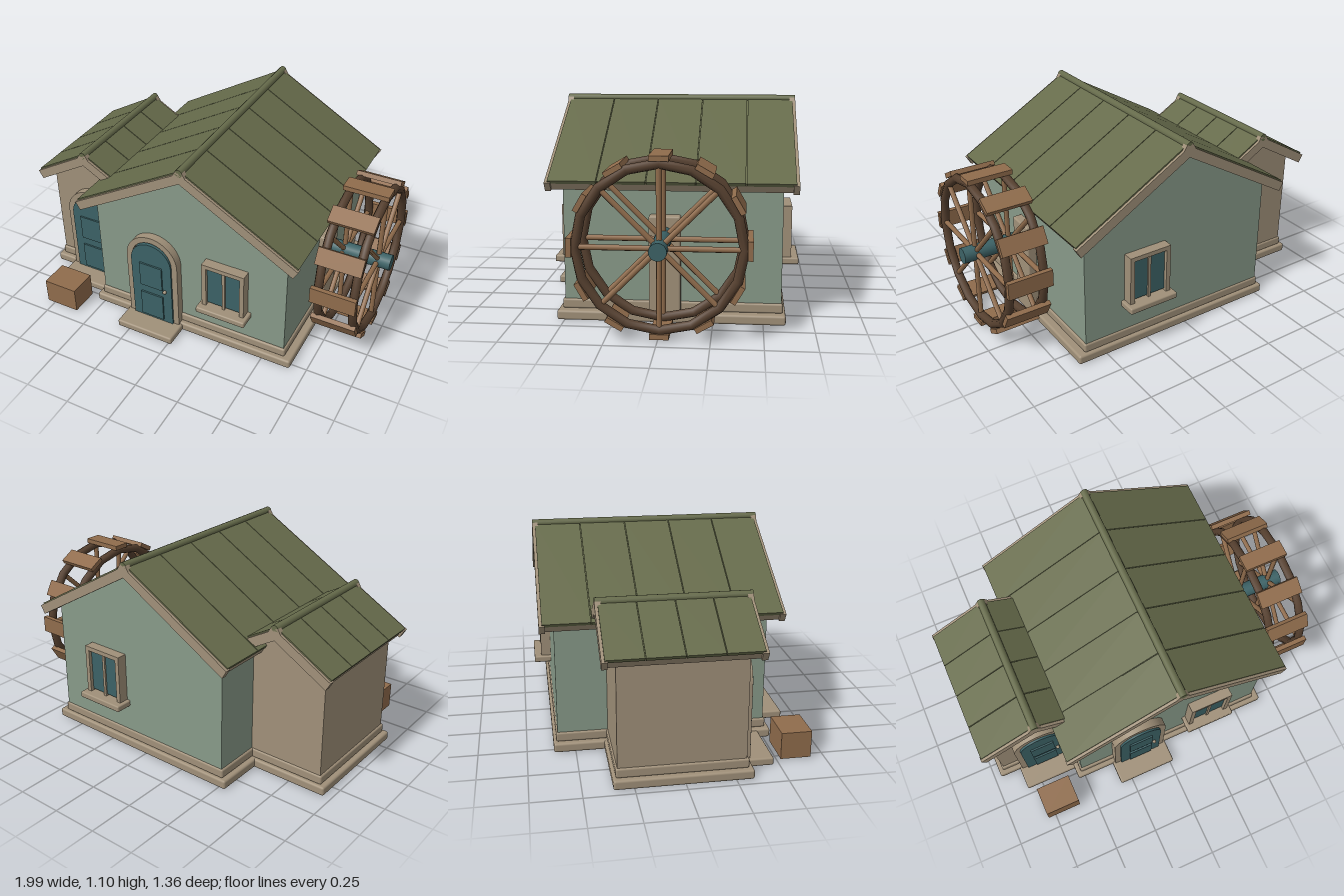
import * as THREE from 'three';
import { RoundedBoxGeometry } from 'three/addons/geometries/RoundedBoxGeometry.js';

const paint = (name, color) => {
  const m = new THREE.MeshStandardMaterial({ color });
  m.name = name;
  return m;
};

export function createModel() {
  const stone = paint('tan stone', 0xa09079);
  const plaster = paint('sage plaster', 0x889a89);
  const green = paint('olive roof', 0x666b4b);
  const teal = paint('teal paint', 0x3c6266);
  const wood = paint('light wood', 0x906c4c);
  const darkWood = paint('dark wood', 0x56402f);

  const model = new THREE.Group();
  model.name = 'watermillHouse';

  const add = (parent, name, geo, mat) => {
    const mesh = new THREE.Mesh(geo, mat);
    mesh.name = name;
    parent.add(mesh);
    return mesh;
  };
  const group = (parent, name, x, y, z) => {
    const g = new THREE.Group();
    g.name = name;
    g.position.set(x, y, z);
    parent.add(g);
    return g;
  };
  // Box given by its extents; r > 0 rounds the edges
  const box = (parent, name, mat, [x0, x1], [y0, y1], [z0, z1], r = 0) => {
    const s = [x1 - x0, y1 - y0, z1 - z0];
    const geo = r ? new RoundedBoxGeometry(...s, 2, r) : new THREE.BoxGeometry(...s);
    const mesh = add(parent, name, geo, mat);
    mesh.position.set((x0 + x1) / 2, (y0 + y1) / 2, (z0 + z1) / 2);
    return mesh;
  };
  const extrude = (shape, depth) =>
    new THREE.ExtrudeGeometry(shape, { depth, bevelEnabled: false, curveSegments: 20 });

  // Gabled walls with a two-step plinth
  const walls = (name, mat, x, half, eave, peak, zBack, zFront) => {
    const g = group(model, name, x, 0, 0);
    const shape = new THREE.Shape([[-half, 0.02], [half, 0.02], [half, eave], [0, peak], [-half, eave]]
      .map(p => new THREE.Vector2(...p)));
    add(g, name + 'Walls', extrude(shape, zFront - zBack), mat).position.z = zBack;
    box(g, name + 'Base', stone, [-half - 0.035, half + 0.05], [0, 0.05], [zBack - 0.022, zFront + 0.035], 0.012);
    box(g, name + 'Plinth', stone, [-half - 0.01, half + 0.01], [0.05, 0.1], [zBack - 0.008, zFront + 0.012], 0.01);
  };
  walls('mainHouse', plaster, 0.055, 0.56, 0.71, 1.035, -0.59, 0.503);
  walls('sideHouse', stone, -0.67, 0.255, 0.665, 0.815, -0.33, 0.305);

  // Roof: two slopes of panels with bargeboards, fascia and ridge cap
  const roof = (name, x, y, run, zBack, zFront, panels) => {
    const g = group(model, name, x, y, 0);
    const tilt = Math.PI / 6;
    const len = run / Math.cos(tilt);
    for (const s of [-1, 1]) {
      const slope = group(g, name + (s > 0 ? 'LeftSlope' : 'RightSlope'), 0, 0, 0);
      slope.rotation.z = -s * tilt;
      const span = (a, b) => (s > 0 ? [a, b] : [-b, -a]);
      box(slope, 'roofDeck', green, span(0, len - 0.015), [-0.035, 0], [zBack + 0.015, zFront - 0.015]);
      const step = (zFront - zBack - 0.026) / panels;
      for (let i = 0; i < panels; i++) {
        const z = zBack + 0.013 + i * step;
        box(slope, 'roofPanel', green, span(0, len - 0.008), [-0.012, 0.006], [z + 0.002, z + step - 0.002]);
      }
      for (const z of [zBack, zFront - 0.03])
        box(slope, 'bargeboard', stone, span(-0.02, len), [-0.052, -0.001], [z, z + 0.03]);
      box(slope, 'fascia', stone, span(len - 0.045, len - 0.012), [-0.052, -0.012], [zBack + 0.03, zFront - 0.03]);
    }
    const cap = add(g, 'ridgeCap', new THREE.CylinderGeometry(0.021, 0.021, zFront - zBack, 12), green);
    cap.rotation.x = Math.PI / 2;
    cap.position.z = (zFront + zBack) / 2;
  };
  roof('mainRoof', 0.055, 1.08, 0.642, -0.663, 0.58, 5);
  roof('sideRoof', -0.67, 0.853, 0.32, -0.4, 0.375, 4);

  // Arched door, placed on a wall facing +z
  const archShape = (r, y0, yc) => {
    const s = new THREE.Shape();
    s.moveTo(-r, y0);
    s.lineTo(r, y0);
    s.lineTo(r, yc);
    s.absarc(0, yc, r, 0, Math.PI, false);
    s.closePath();
    return s;
  };
  const door = (name, x, z) => {
    const g = group(model, name, x, 0, z);
    const surround = archShape(0.155, 0.02, 0.437);
    surround.holes.push(archShape(0.122, 0.03, 0.437));
    add(g, 'doorSurround', extrude(surround, 0.055), stone).position.z = -0.01;
    add(g, 'doorLeaf', extrude(archShape(0.122, 0.04, 0.43), 0.06), teal).position.z = -0.005;
    box(g, 'upperPanel', teal, [-0.068, 0.068], [0.27, 0.42], [0.055, 0.064]);
    box(g, 'lowerPanel', teal, [-0.068, 0.068], [0.06, 0.22], [0.055, 0.064]);
    const knob = add(g, 'doorKnob', new THREE.SphereGeometry(0.011, 10, 8), stone);
    knob.position.set(0.083, 0.265, 0.062);
    box(g, 'doorstep', stone, [-0.17, 0.17], [0, 0.042], [-0.01, 0.165], 0.01);
  };
  door('mainDoor', -0.15, 0.503);
  door('sideDoor', -0.67, 0.305);

  // Two-pane window with a sill, facing +z before turning
  const window = (name, x, y, z, turn) => {
    const g = group(model, name, x, y, z);
    g.rotation.y = turn;
    for (const s of [-1, 1]) {
      box(g, 'frameSide', stone, s > 0 ? [0.097, 0.122] : [-0.122, -0.097], [0, 0.28], [-0.01, 0.055]);
      box(g, 'pane', teal, s > 0 ? [0.006, 0.098] : [-0.098, -0.006], [0.02, 0.258], [0.028, 0.036]);
    }
    box(g, 'frameTop', stone, [-0.097, 0.097], [0.256, 0.28], [-0.01, 0.055]);
    box(g, 'mullion', stone, [-0.008, 0.008], [0, 0.256], [-0.01, 0.045]);
    box(g, 'sill', stone, [-0.142, 0.142], [-0.025, 0.01], [-0.01, 0.093], 0.008);
  };
  window('frontWindow', 0.28, 0.262, 0.503, 0);
  window('backWindow', 0.26, 0.27, -0.59, Math.PI);

  // Stone pier carrying the wheel axle, and a crate by the side door
  box(model, 'wheelPier', stone, [0.59, 0.665], [0, 0.545], [-0.088, 0.07], 0.01);
  box(model, 'crate', wood, [-0.793, -0.595], [0.005, 0.148], [0.52, 0.678]);

  // Water wheel turning about the x axis
  const wheel = group(model, 'waterWheel', 0, 0.45, -0.01);
  for (const x of [0.735, 0.925]) {
    const rim = add(wheel, 'rim', new THREE.TorusGeometry(0.395, 0.024, 8, 16), darkWood);
    rim.rotation.y = Math.PI / 2;
    rim.position.x = x;
    for (let i = 0; i < 4; i++) {
      const spoke = add(wheel, 'spokePair', new THREE.CylinderGeometry(0.014, 0.014, 0.76, 8), wood);
      spoke.position.x = x;
      spoke.rotation.x = i * Math.PI / 4;
    }
  }
  for (let i = 0; i < 12; i++) {
    const arm = group(wheel, 'paddleArm', 0, 0, 0);
    arm.rotation.x = i * Math.PI / 6;
    box(arm, 'paddle', wood, [0.705, 0.95], [0.408, 0.434], [-0.046, 0.046]);
  }
  const axle = add(wheel, 'axle', new THREE.CylinderGeometry(0.043, 0.043, 0.36, 16), teal);
  axle.rotation.z = Math.PI / 2;
  axle.position.x = 0.818;

  return model;
}
